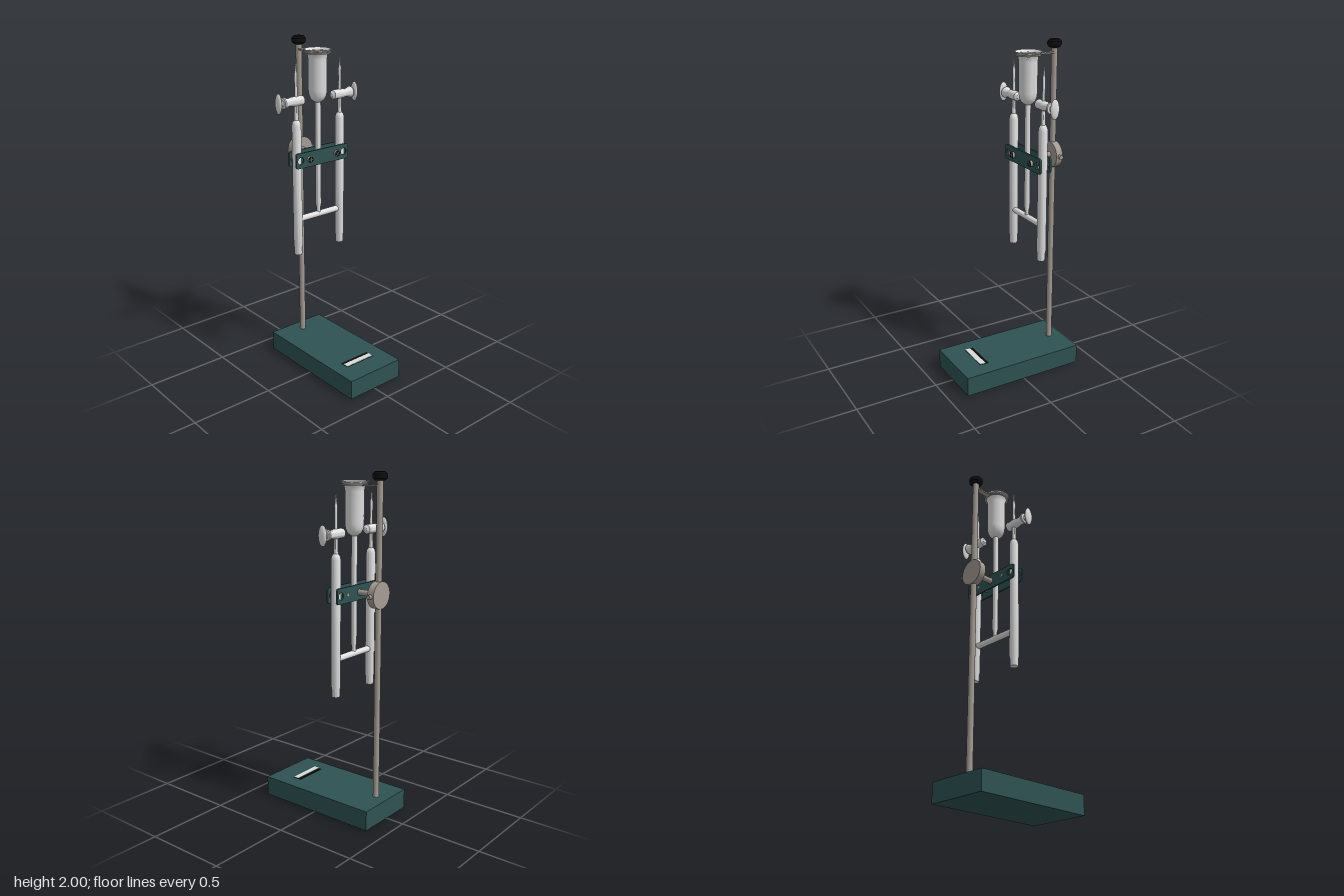
import * as THREE from 'three';
import { toCreasedNormals } from 'three/addons/utils/BufferGeometryUtils.js';

const material = (name, color, side = THREE.FrontSide) => {
  const m = new THREE.MeshStandardMaterial({ color, side });
  m.name = name;
  return m;
};

export function createModel() {
  const model = new THREE.Group();
  model.name = 'electrolysisApparatus';

  const green = material('darkGreen', 0x2f5252);
  const metal = material('warmMetal', 0xa59c94);
  const glass = material('paleGlass', 0xe2e2e2, THREE.DoubleSide);
  const black = material('black', 0x0d0d0d);
  const white = material('labelWhite', 0xd8dbd8);

  const add = (name, geometry, mat, x = 0, y = 0, z = 0, parent = model) => {
    const mesh = new THREE.Mesh(geometry, mat);
    mesh.name = name;
    mesh.position.set(x, y, z);
    parent.add(mesh);
    return mesh;
  };
  const box = (w, h, d) => new THREE.BoxGeometry(w, h, d);
  const rod = (r, length, axis = 'y', sides = 28) => {
    const g = new THREE.CylinderGeometry(r, r, length, sides);
    if (axis === 'x') g.rotateZ(Math.PI / 2);
    if (axis === 'z') g.rotateX(Math.PI / 2);
    return g;
  };
  const lathe = (points, sides = 32) => toCreasedNormals(
    new THREE.LatheGeometry(points.map(([r, y]) => new THREE.Vector2(r, y)), sides), 0.6);

  const rodZ = -0.305, glassZ = -0.133, clampY = 1.33, valveY = 1.67;
  const tubeXs = [-0.157, 0.163];

  // Base with a label slot
  add('base', box(0.384, 0.118, 0.77), green, 0.009, 0.059, 0);
  add('labelSlot', box(0.202, 0.004, 0.055), black, 0.004, 0.118, 0.2225);
  add('label', box(0.2, 0.004, 0.035), white, 0.004, 0.12, 0.232);

  // Stand rod and cap
  add('standRod', rod(0.018, 1.86), metal, 0, 1.04, rodZ);
  add('rodCap', lathe([[0, 1.953], [0.026, 1.953], [0.04, 1.964], [0.042, 1.977],
    [0.04, 1.989], [0.028, 2], [0, 2]]), black, 0, 0, rodZ);

  // Round boss that grips the rod, with its screw and arm
  add('clampBoss', rod(0.078, 0.042, 'z', 40), metal, 0, clampY, rodZ);
  add('bossScrew', rod(0.013, 0.03, 'x'), metal, 0.082, clampY, rodZ);
  add('clampArm', rod(0.017, 0.12, 'z'), metal, 0, clampY, -0.225);

  // Clamp plates: rounded bars with a hole over each tube
  const bar = new THREE.Shape();
  const L = -0.19, R = 0.197, H = 0.045, c = 0.018;
  bar.moveTo(L + c, -H);
  bar.lineTo(R - c, -H);
  bar.quadraticCurveTo(R, -H, R, -H + c);
  bar.lineTo(R, H - c);
  bar.quadraticCurveTo(R, H, R - c, H);
  bar.lineTo(L + c, H);
  bar.quadraticCurveTo(L, H, L, H - c);
  bar.lineTo(L, -H + c);
  bar.quadraticCurveTo(L, -H, L + c, -H);
  for (const x of tubeXs) {
    bar.holes.push(new THREE.Path().absarc(x, 0, 0.021, 0, Math.PI * 2, true));
  }
  const plate = new THREE.ExtrudeGeometry(bar, { depth: 0.01, bevelEnabled: false, curveSegments: 12 });
  add('frontClampPlate', plate, green, 0, clampY, -0.105);
  add('backClampPlate', plate, green, 0, clampY, -0.171);

  // Clamp screws with dark cross-slotted heads
  for (const x of [-0.095, 0.105]) {
    const screw = new THREE.Group();
    screw.name = 'clampScrew';
    screw.position.set(x, clampY, 0);
    model.add(screw);
    add('shank', rod(0.009, 0.075, 'z', 16), metal, 0, 0, -0.135, screw);
    add('head', rod(0.018, 0.014, 'z'), metal, 0, 0, -0.089, screw);
    add('headFace', rod(0.017, 0.003, 'z'), black, 0, 0, -0.081, screw);
    const cross = new THREE.Group();
    cross.name = 'crossSlot';
    cross.position.z = -0.079;
    cross.rotation.z = x > 0 ? Math.PI / 4 : 0;
    screw.add(cross);
    add('slotBar', box(0.03, 0.003, 0.002), metal, 0, 0, 0, cross);
    add('slotBar', box(0.003, 0.03, 0.002), metal, 0, 0, 0, cross);
  }

  // Two closed gas tubes with slender outlets
  const tube = lathe([[0, 0.745], [0.022, 0.745], [0.024, 0.752], [0.024, 0.79], [0.027, 0.805],
    [0.027, 1.53], [0.024, 1.547], [0.018, 1.556], [0.013, 1.562], [0.012, 1.6], [0.012, 1.655],
    [0.009, 1.69], [0.008, 1.76], [0.009, 1.82], [0.005, 1.84], [0.004, 1.88], [0, 1.88]]);
  // Stopcock barrel, turned around the x axis
  const barrel = lathe([[0, 0.099], [0.012, 0.1], [0.017, 0.107], [0.026, 0.112], [0.028, 0.122],
    [0.026, 0.135], [0.028, 0.155], [0.027, 0.185], [0.023, 0.2], [0.024, 0.218], [0.031, 0.235],
    [0.033, 0.244], [0.03, 0.25], [0.018, 0.252], [0.011, 0.26], [0.01, 0.268], [0.014, 0.275],
    [0, 0.282]]).rotateZ(-Math.PI / 2);
  tubeXs.forEach((x, i) => {
    const side = i ? 'left' : 'right';
    add(side + 'GasTube', tube, glass, x, 0, glassZ);
    const stopcock = new THREE.Group();
    stopcock.name = side + 'Stopcock';
    stopcock.position.set(-0.001, valveY, glassZ);
    if (!i) stopcock.rotation.y = Math.PI;
    model.add(stopcock);
    add('barrel', barrel, glass, 0, 0, 0, stopcock);
    const handle = add('handle', new THREE.SphereGeometry(1, 24, 16), glass, 0.277, 0, 0, stopcock);
    handle.scale.set(0.013, 0.057, 0.028);
  });

  // Cross tube joining both gas tubes to the centre stem
  add('crossTube', rod(0.018, 0.29, 'x'), glass, 0.003, 0.965, glassZ);

  // Open reservoir with flared rim and long stem
  add('reservoir', lathe([[0.012, 0.965], [0.012, 1.005], [0.017, 1.03], [0.017, 1.645],
    [0.026, 1.65], [0.04, 1.662], [0.05, 1.685], [0.054, 1.715], [0.054, 1.89], [0.058, 1.915],
    [0.068, 1.932], [0.077, 1.939], [0.078, 1.944], [0.073, 1.945], [0.063, 1.935], [0.054, 1.915],
    [0.05, 1.89], [0.05, 1.715], [0.045, 1.69], [0.034, 1.67], [0.013, 1.658], [0.011, 1.3]], 40),
  glass, -0.001, 0, glassZ);

  // Support ring and flat arm holding the reservoir
  add('supportRing', lathe([[0.056, 1.923], [0.075, 1.923], [0.075, 1.931], [0.056, 1.931],
    [0.056, 1.923]], 40), metal, -0.001, 0, glassZ);
  add('supportArm', box(0.032, 0.008, 0.11), metal, -0.001, 1.925, -0.25);

  return model;
}
